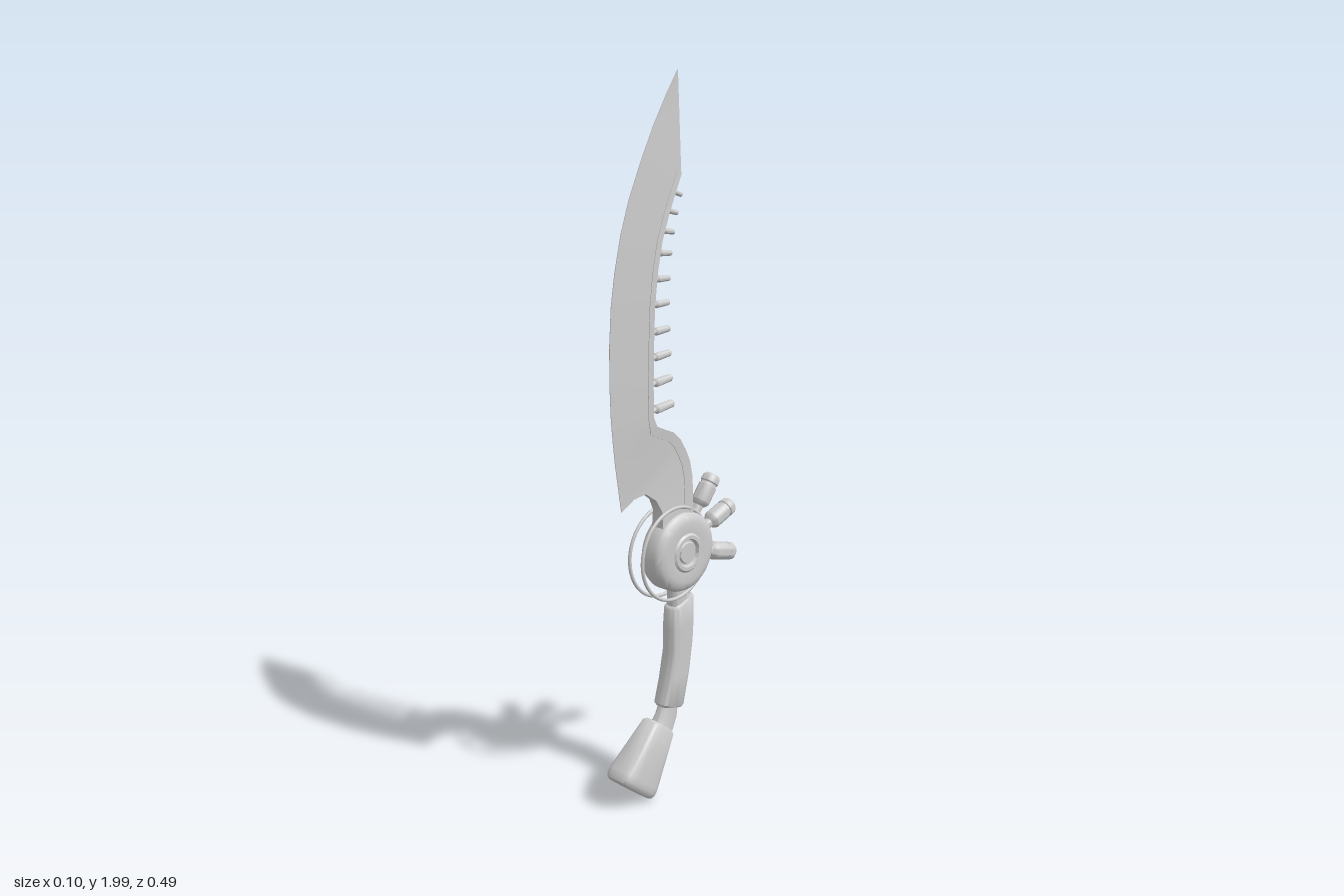
import * as THREE from 'three';
import { toCreasedNormals } from 'three/addons/utils/BufferGeometryUtils.js';

const steel = new THREE.MeshStandardMaterial({ color: 0xcccccc });
steel.name = 'steel';

const crease = (geo, angle = 0.6) => toCreasedNormals(geo, angle);

// Solid skin through cross-sections, each an equal-length loop of [x, y, z]
function loft(sections, angle) {
  const n = sections[0].length, last = (sections.length - 1) * n;
  const pos = sections.flat();
  let idx = [];
  for (let s = 0; s < last; s += n) {
    for (let i = 0; i < n; i++) {
      const j = (i + 1) % n;
      idx.push(s + i, s + j, s + n + j, s + i, s + n + j, s + n + i);
    }
  }
  for (let i = 1; i < n - 1; i++) {
    idx.push(0, i + 1, i, last, last + i, last + i + 1);
  }
  // Turn the faces outward when the enclosed volume is negative
  const v = pos.map(p => new THREE.Vector3(...p));
  let volume = 0;
  for (let i = 0; i < idx.length; i += 3) {
    volume += v[idx[i]].dot(v[idx[i + 1]].clone().cross(v[idx[i + 2]]));
  }
  if (volume < 0) idx.reverse();
  const geo = new THREE.BufferGeometry();
  geo.setAttribute('position', new THREE.Float32BufferAttribute(pos.flat(), 3));
  geo.setIndex(idx);
  return crease(geo, angle);
}

// Rounded-rectangle body; each section is [frontZ, frontY, backZ, backY, halfWidth]
function roundedBody(sections, power = 0.6, n = 28) {
  const sp = a => Math.sign(a) * Math.abs(a) ** power;
  return loft(sections.map(([fz, fy, bz, by, h]) =>
    Array.from({ length: n }, (_, i) => {
      const a = i / n * Math.PI * 2, c = sp(Math.cos(a)) / 2;
      return [h * sp(Math.sin(a)), (fy + by) / 2 + c * (fy - by), (fz + bz) / 2 + c * (fz - bz)];
    })), 0.7);
}

const lathe = (points, n) =>
  crease(new THREE.LatheGeometry(points.map(p => new THREE.Vector2(...p)), n));

// Blade stations from the hub to the tip: edge z, edge y, spine z, spine y
const STATIONS = [
  [0.066, 0.78, -0.045, 0.78], [0.066, 0.84, -0.045, 0.86], [0.085, 0.875, -0.045, 0.92],
  [0.12, 0.9, -0.036, 0.965], [0.16, 0.893, -0.02, 1.0], [0.204, 0.867, 0.0, 1.032],
  [0.214, 0.93, 0.025, 1.055], [0.225, 1.0, 0.06, 1.07], [0.232, 1.06, 0.088, 1.083],
  [0.238, 1.12, 0.1, 1.11], [0.242, 1.22, 0.1, 1.2], [0.241, 1.32, 0.097, 1.3],
  [0.234, 1.42, 0.092, 1.4], [0.22, 1.505, 0.08, 1.49], [0.197, 1.6, 0.062, 1.57],
  [0.167, 1.685, 0.035, 1.64], [0.125, 1.775, -0.013, 1.74], [0.077, 1.865, -0.013, 1.83],
  [0.03, 1.94, -0.013, 1.92], [-0.012, 2.0, -0.013, 1.999],
];

// Half thickness of the spine at a height
function spineHalf(y) {
  const { lerp } = THREE.MathUtils;
  if (y < 1.08) return lerp(0.031, 0.021, (y - 0.78) / 0.3);
  if (y < 1.74) return lerp(0.021, 0.015, (y - 1.08) / 0.66);
  return lerp(0.015, 0.001, (y - 1.74) / 0.26);
}

export function createModel() {
  const model = new THREE.Group();
  model.name = 'curvedSword';
  const add = (name, geo, parent = model) => {
    const mesh = new THREE.Mesh(geo, steel);
    mesh.name = name;
    parent.add(mesh);
    return mesh;
  };

  // Wedge-shaped blade, thick at the spine and sharp at the edge
  add('blade', loft(STATIONS.map(([ez, ey, sz, sy], i) => {
    const t = spineHalf(sy) * 0.85, e = Math.max(0.001, 0.022 * (1 - i / 5));
    return [[e, ey, ez], [t, sy, sz], [-t, sy, sz], [-e, ey, ez]];
  }), 0.5));

  // Raised rail following the spine, widest where it meets the hub
  const spine = STATIONS.slice(0, 17).map(([, , z, y]) => [z, y]);
  add('spineRail', loft(spine.map(([z, y], i) => {
    const a = spine[Math.max(0, i - 1)], b = spine[Math.min(spine.length - 1, i + 1)];
    const dz = b[0] - a[0], dy = b[1] - a[1], len = Math.hypot(dz, dy);
    const w = i < 9 ? 0.028 : 0.016, h = spineHalf(y);
    const iz = z + dy / len * w, iy = y - dz / len * w;
    return [[h * 0.85, iy, iz], [h, y, z], [-h, y, z], [-h * 0.85, iy, iz]];
  }), 0.5));

  // Row of studs along the spine, shrinking and tilting toward the tip
  const studs = new THREE.Group();
  studs.name = 'spineStuds';
  model.add(studs);
  const studY = [1.12, 1.193, 1.263, 1.332, 1.405, 1.472, 1.54, 1.597, 1.648, 1.695];
  studY.forEach((y, i) => {
    const k = spine.findIndex(p => p[1] > y), [az, ay] = spine[k - 1], [bz, by] = spine[k];
    const z = az + (bz - az) * (y - ay) / (by - ay);
    const len = 0.094 - 0.0062 * i, r = 0.0125 - 0.0006 * i;
    const stud = add('stud', lathe([[0, -0.01], [r * 0.6, -0.01], [r * 0.6, len * 0.25],
      [r, len * 0.32], [r * 0.85, len * 0.96], [r * 0.6, len], [0, len]], 12), studs);
    stud.position.set(0, y, z);
    stud.rotation.x = -Math.PI / 2 + THREE.MathUtils.degToRad(6 - 0.32 * i * i);
  });

  // Round hub with a raised ring and centre button on both sides
  const hub = new THREE.Group();
  hub.name = 'hub';
  hub.position.set(0, 0.708, -0.013);
  model.add(hub);
  const half = [[0, 0.04], [0.028, 0.04], [0.031, 0.035], [0.036, 0.035], [0.04, 0.045],
    [0.05, 0.045], [0.056, 0.04], [0.085, 0.042], [0.1, 0.038], [0.11, 0.031], [0.115, 0.02]];
  const disc = add('hubDisc', lathe(
    [...half.map(([r, x]) => [r, -x]), ...half.slice().reverse()], 48), hub);
  disc.rotation.z = Math.PI / 2;

  // Three canisters radiating from the back of the hub
  for (const angle of [52, 20.5, -15]) {
    const canister = add('canister', lathe([[0, 0.09], [0.014, 0.09], [0.014, 0.138],
      [0.021, 0.144], [0.026, 0.152], [0.026, 0.2], [0.023, 0.203], [0.023, 0.208],
      [0.026, 0.211], [0.025, 0.227], [0.02, 0.234], [0, 0.234]], 24), hub);
    canister.rotation.x = THREE.MathUtils.degToRad(angle - 90);
  }

  // Pair of thin guard rings
  for (const x of [-0.024, 0.024]) {
    const ring = add('guardRing', new THREE.TorusGeometry(0.131, 0.005, 10, 64));
    ring.rotation.y = Math.PI / 2;
    ring.position.set(x, 0.71, 0.019);
  }

  // Handle: upper neck, curved grip, lower neck
  add('upperNeck', roundedBody([[0.018, 0.64, -0.04, 0.64, 0.024], [0.018, 0.55, -0.04, 0.56, 0.024]], 0.8));
  add('grip', roundedBody([
    [0.018, 0.549, -0.055, 0.577, 0.024], [0.024, 0.54, -0.061, 0.57, 0.029],
    [0.029, 0.48, -0.062, 0.505, 0.03], [0.029, 0.416, -0.057, 0.435, 0.03],
    [0.045, 0.337, -0.043, 0.346, 0.03], [0.065, 0.27, -0.021, 0.25, 0.029],
    [0.06, 0.261, -0.016, 0.242, 0.024],
  ]));
  add('lowerNeck', roundedBody([[0.05, 0.28, -0.008, 0.268, 0.02],
    [0.07, 0.236, 0.0, 0.215, 0.022], [0.095, 0.205, 0.022, 0.175, 0.027]], 0.85));

  // Flared pommel: distance along its axis, half depth, half width
  const pommel = [[0, 0.04, 0.028], [0.008, 0.049, 0.034], [0.09, 0.063, 0.043],
    [0.165, 0.077, 0.05], [0.182, 0.077, 0.05], [0.193, 0.073, 0.046], [0.198, 0.064, 0.04]];
  add('pommel', roundedBody(pommel.map(([d, w, h]) => {
    const z = 0.061 + 0.626 * d, y = 0.207 - 0.78 * d;
    return [z + 0.78 * w, y + 0.626 * w, z - 0.78 * w, y - 0.626 * w, h];
  }), 0.5));

  return model;
}
